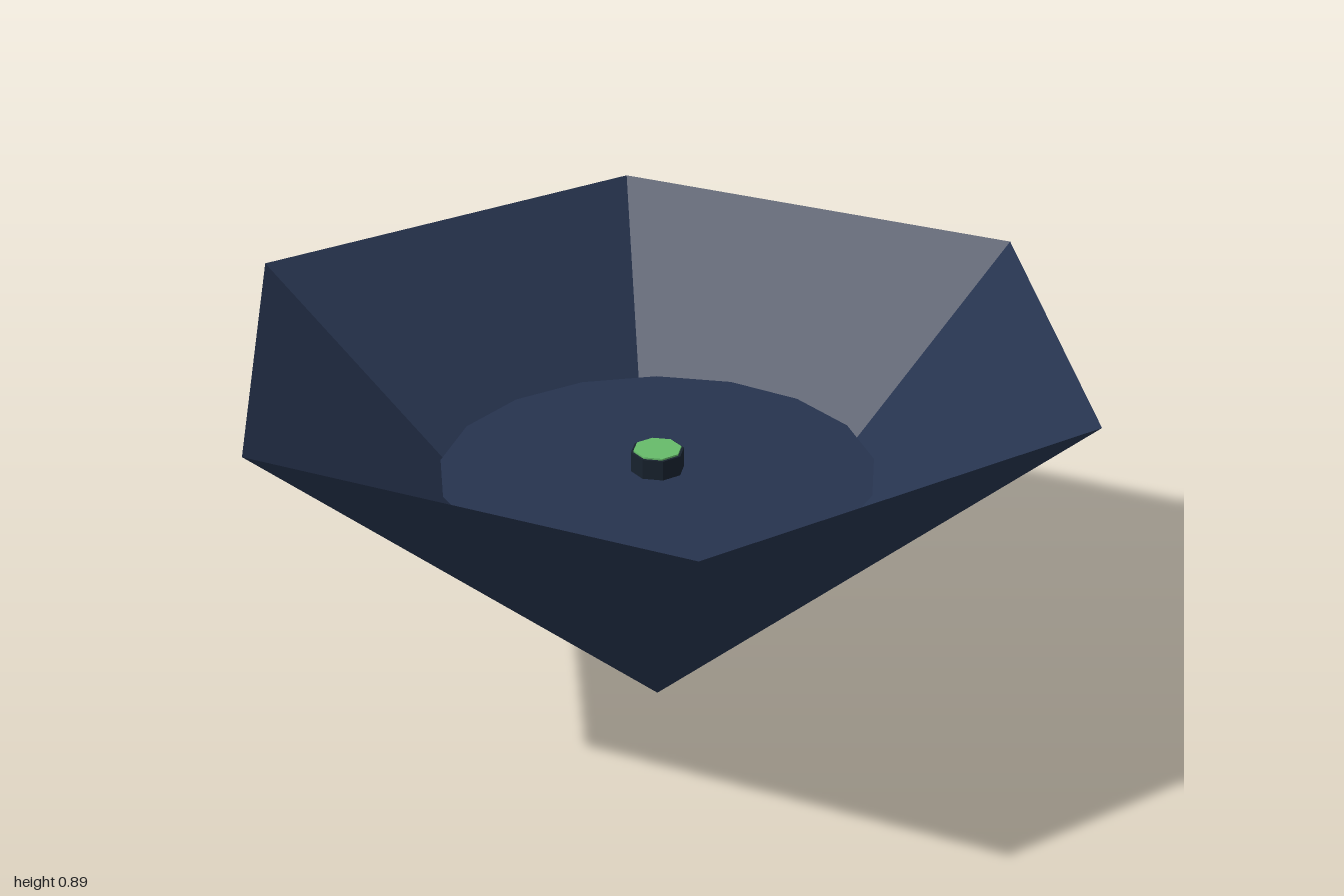
import * as THREE from 'three';

const RIM_Y = 0.89;
const FLOOR_Y = 0.58;

function material(name, color, options = {}) {
  return new THREE.MeshStandardMaterial({ name, color, flatShading: true, ...options });
}

function addPart(group, name, geometry, mat, y) {
  const mesh = new THREE.Mesh(geometry, mat);
  mesh.name = name;
  mesh.position.y = y;
  group.add(mesh);
  return mesh;
}

export function createModel() {
  const model = new THREE.Group();
  model.name = 'hexagonalBowl';

  const navy = material('navy', 0x26334e, { side: THREE.DoubleSide });
  const dark = material('darkNavy', 0x18222e);
  const green = material('green', 0x66bb6a);

  // Open six-sided shell standing on its tip, corners on the x axis
  const shell = new THREE.ConeGeometry(1, RIM_Y, 6, 1, true, Math.PI / 2);
  shell.rotateX(Math.PI);
  addPart(model, 'shell', shell, navy, RIM_Y / 2);

  // Flat round floor inside the shell
  const floor = new THREE.CircleGeometry(0.485, 17, THREE.MathUtils.degToRad(183));
  floor.rotateX(-Math.PI / 2);
  addPart(model, 'floor', floor, navy, FLOOR_Y);

  // Small button in the middle, with a green cap
  const height = 0.046;
  const button = new THREE.CylinderGeometry(0.06, 0.06, height, 8, 1, false, Math.PI / 8);
  addPart(model, 'button', button, dark, FLOOR_Y + height / 2);
  const cap = new THREE.CylinderGeometry(0.054, 0.054, 0.004, 8, 1, false, Math.PI / 8);
  addPart(model, 'buttonCap', cap, green, FLOOR_Y + height + 0.002);

  return model;
}
